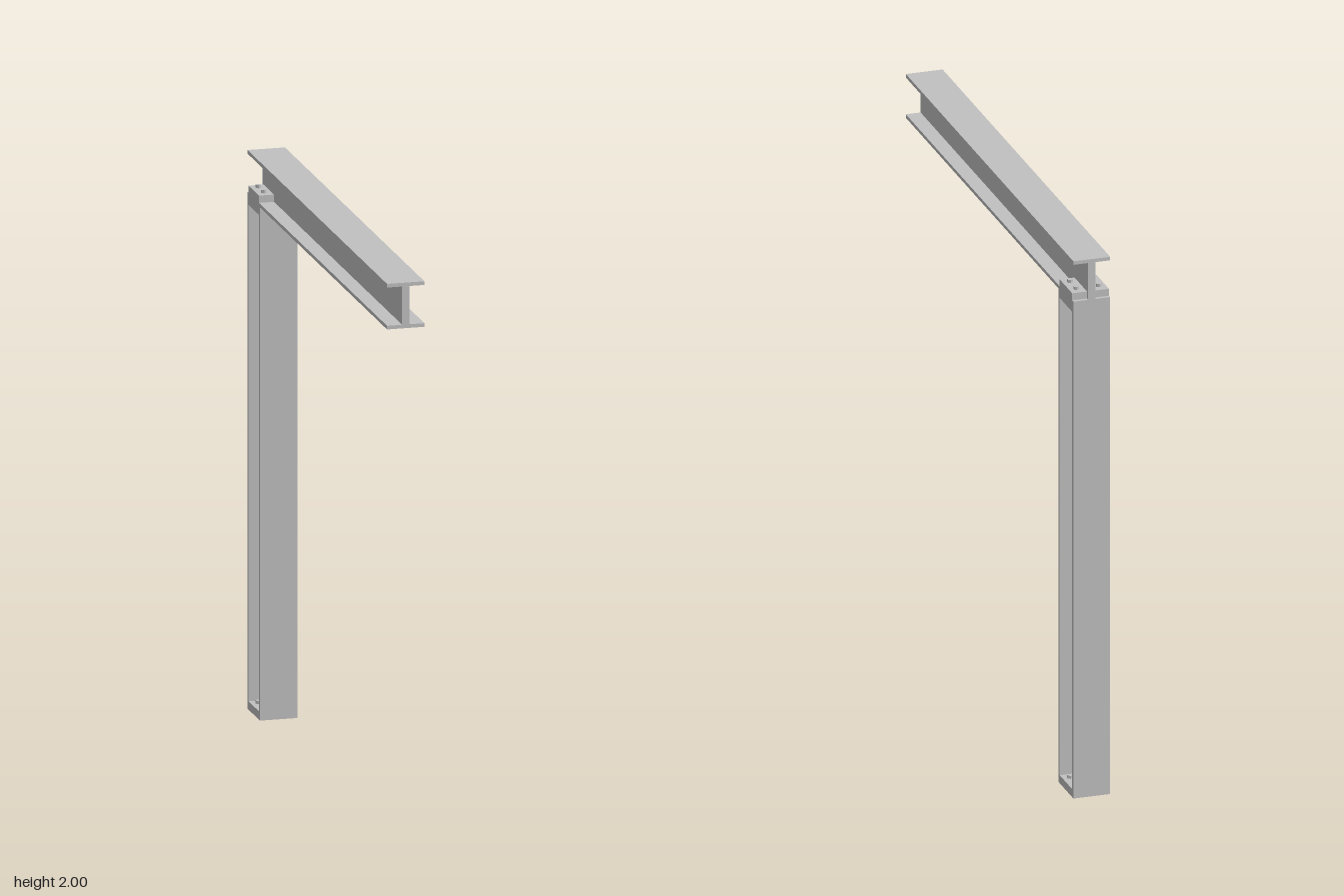
import * as THREE from 'three';

const HALF_W = 0.067, DEPTH = 0.163, FLANGE = 0.013, WEB = 0.026;
const BACK = -0.915, COLUMN_H = 1.838, PLATE = 0.03;
const COLUMN_Z = BACK + DEPTH / 2;

// I-shaped cross-section, centred on the origin
function sectionShape() {
  const h = DEPTH / 2, f = h - FLANGE, w = WEB / 2;
  const half = [[HALF_W, -h], [HALF_W, -f], [w, -f], [w, f], [HALF_W, f], [HALF_W, h]];
  const mirrored = half.map(([x, y]) => [-x, y]).reverse();
  return new THREE.Shape([...half, ...mirrored].map(([x, y]) => new THREE.Vector2(x, y)));
}

function sectionGeometry(length) {
  return new THREE.ExtrudeGeometry(sectionShape(), { depth: length, bevelEnabled: false });
}

export function createModel() {
  const model = new THREE.Group();
  model.name = 'steelFrame';
  const steel = new THREE.MeshStandardMaterial({ color: 0xc0c0c0 });
  steel.name = 'steelGrey';

  const add = (name, geometry, x, y, z) => {
    const mesh = new THREE.Mesh(geometry, steel);
    mesh.name = name;
    mesh.position.set(x, y, z);
    model.add(mesh);
  };

  // Horizontal beam along z and upright column at its back end
  add('beam', sectionGeometry(-2 * BACK), 0, COLUMN_H + DEPTH / 2, BACK);
  add('column', sectionGeometry(COLUMN_H).rotateX(-Math.PI / 2), 0, 0, COLUMN_Z);

  // Plates and hexagonal bolt heads on both sides of the web
  const plateW = HALF_W - WEB / 2;
  const plateGeo = new THREE.BoxGeometry(plateW, PLATE, DEPTH - 2 * FLANGE);
  const boltGeo = new THREE.CylinderGeometry(0.01, 0.01, 0.012, 6).toNonIndexed();
  boltGeo.computeVertexNormals();
  const joints = [
    { name: 'base', bottom: 0, boltSide: 1 },
    { name: 'cap', bottom: COLUMN_H - PLATE, boltSide: -1 },
    { name: 'beam', bottom: COLUMN_H + FLANGE - 0.004, boltSide: 1 },
  ];
  for (const { name, bottom, boltSide } of joints) {
    for (const side of [-1, 1]) {
      const y = bottom + PLATE / 2;
      add(`${name}Plate`, plateGeo, side * (WEB + plateW) / 2, y, COLUMN_Z);
      for (const dz of [-0.034, 0.034]) {
        add(`${name}Bolt`, boltGeo, side * 0.041, y + boltSide * (PLATE / 2 + 0.005), COLUMN_Z + dz);
      }
    }
  }
  return model;
}
